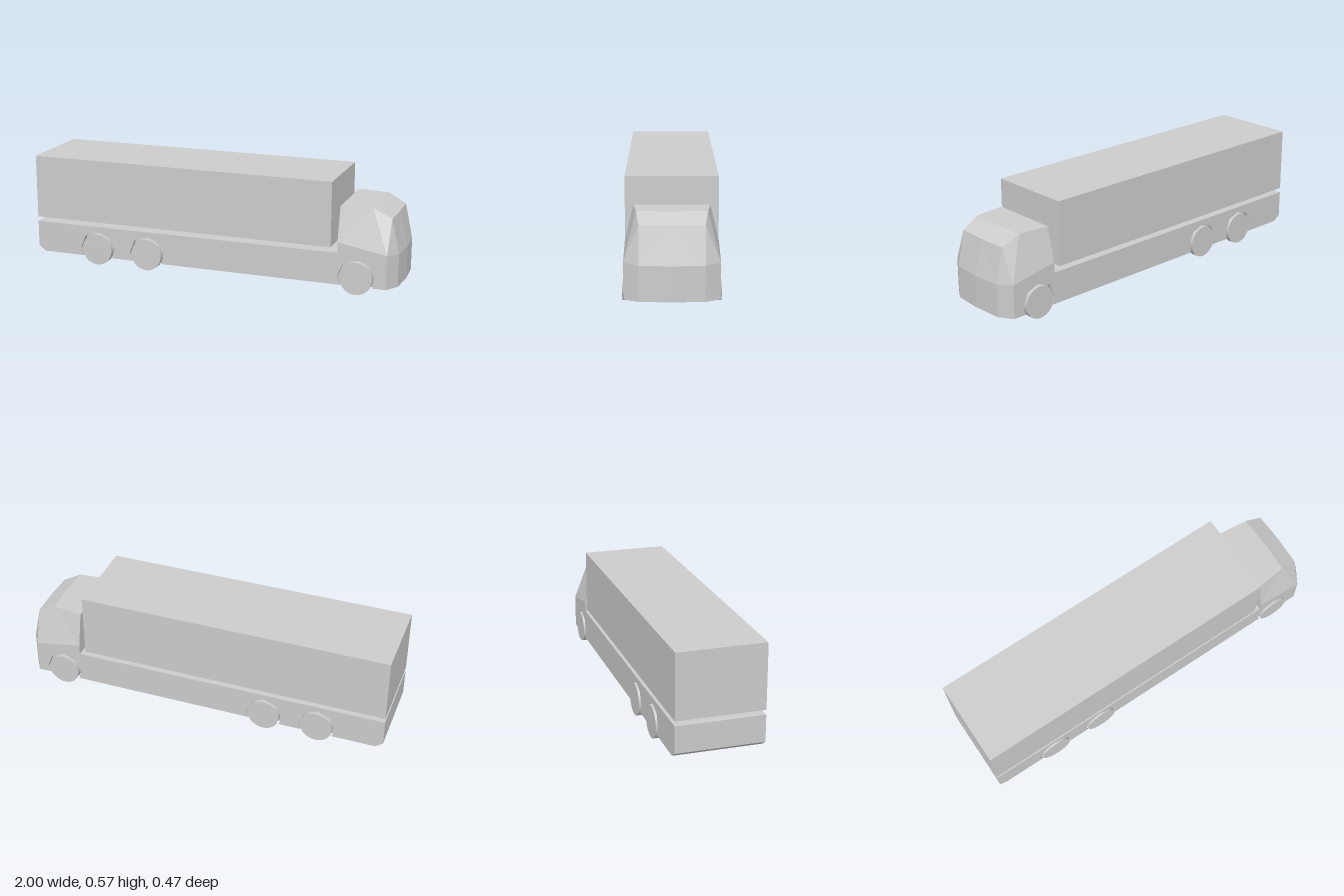
import * as THREE from 'three';

const material = new THREE.MeshStandardMaterial({ color: 0xcccccc, flatShading: true });
const HALF = 0.227;            // half width of the body
const CORE = 0.2;              // half width inside the wheel arches
const AXLES = [-0.645, -0.357, 0.79];
const WHEEL_R = 0.085;
const ARCH_R = 0.099;
const BASE = 0.042;

function add(group, name, geometry, x = 0, y = 0, z = 0) {
  const mesh = new THREE.Mesh(geometry, material);
  mesh.name = name;
  mesh.position.set(x, y, z);
  group.add(mesh);
  return mesh;
}

// Side profile of the lower body, optionally notched by octagonal wheel arches
function bodyProfile(withArches) {
  const pts = [[-1, 0.07], [-0.96, BASE]];
  if (withArches) {
    for (const x of AXLES) {
      pts.push([x - 0.085, BASE]);
      for (let i = 4; i >= 0; i--) {
        const a = i * Math.PI / 4;
        pts.push([x + Math.cos(a) * ARCH_R, WHEEL_R + Math.sin(a) * ARCH_R]);
      }
      pts.push([x + 0.085, BASE]);
    }
  }
  pts.push([0.945, BASE], [0.945, 0.22]);
  if (withArches) pts.push([0.69, 0.265]);
  pts.push([0.69, 0.21], [-1, 0.21]);
  return new THREE.Shape(pts.map(p => new THREE.Vector2(...p)));
}

function extrude(shape, depth) {
  return new THREE.ExtrudeGeometry(shape, { depth, bevelEnabled: false });
}

// Faceted cab shell: panels for the +z half, mirrored to the other side
function cabGeometry() {
  const rearWaist = [0.69, 0.265, HALF], rearTop = [0.69, 0.443, 0.185];
  const rearMid = [0.69, 0.443, 0], roofMid = [0.86, 0.443, 0];
  const sideBase = [0.945, BASE, HALF], sideWaist = [0.945, 0.22, HALF], sideTop = [0.855, 0.443, 0.168];
  const noseBase = [0.99, BASE, 0.155], noseWaist = [0.99, 0.213, 0.155], noseTop = [0.95, 0.395, 0.155];
  const midBase = [1, BASE, 0], midWaist = [1, 0.213, 0], midTop = [0.955, 0.395, 0];
  const panels = [
    [rearWaist, sideWaist, sideTop, rearTop],              // door and side window
    [sideWaist, noseTop, sideTop],                         // windscreen pillar
    [sideWaist, noseWaist, noseTop],                       // windscreen corner
    [sideBase, noseBase, noseWaist, sideWaist],            // bumper corner
    [noseBase, midBase, midWaist, noseWaist],              // grille
    [noseWaist, midWaist, midTop, noseTop],                // windscreen
    [noseTop, midTop, roofMid, sideTop],                   // sloping brow
    [rearTop, sideTop, roofMid, rearMid],                  // roof
    [[0.69, 0.2, 0], [0.69, 0.2, HALF], rearWaist, rearTop, rearMid], // back wall
    [sideBase, [0.945, BASE, 0], midBase, noseBase],       // underside of the nose
  ];
  const positions = [];
  for (const p of panels) {
    for (let i = 1; i < p.length - 1; i++) {
      const tri = [p[0], p[i], p[i + 1]];
      positions.push(...tri.flat());
      for (const [x, y, z] of tri.reverse()) positions.push(x, y, -z);
    }
  }
  const geometry = new THREE.BufferGeometry();
  geometry.setAttribute('position', new THREE.Float32BufferAttribute(positions, 3));
  geometry.computeVertexNormals();
  return geometry;
}

export function createModel() {
  const truck = new THREE.Group();
  truck.name = 'truck';

  // Cargo box, floating just above the chassis
  add(truck, 'cargoBox', new THREE.BoxGeometry(1.655, 0.34, HALF * 2), -0.1725, 0.405, 0);

  // Chassis core and notched side panels
  add(truck, 'chassisCore', extrude(bodyProfile(false), CORE * 2), 0, 0, -CORE);
  const panel = extrude(bodyProfile(true), HALF - CORE);
  add(truck, 'leftSidePanel', panel, 0, 0, -HALF);
  add(truck, 'rightSidePanel', panel, 0, 0, CORE);

  add(truck, 'cab', cabGeometry());

  // Wheels
  const wheel = new THREE.CylinderGeometry(WHEEL_R, WHEEL_R, 0.032, 28).rotateX(Math.PI / 2);
  AXLES.forEach((x, i) => {
    for (const side of [-1, 1]) {
      add(truck, `${side < 0 ? 'left' : 'right'}Wheel${i + 1}`, wheel, x, WHEEL_R, side * 0.219);
    }
  });

  return truck;
}
